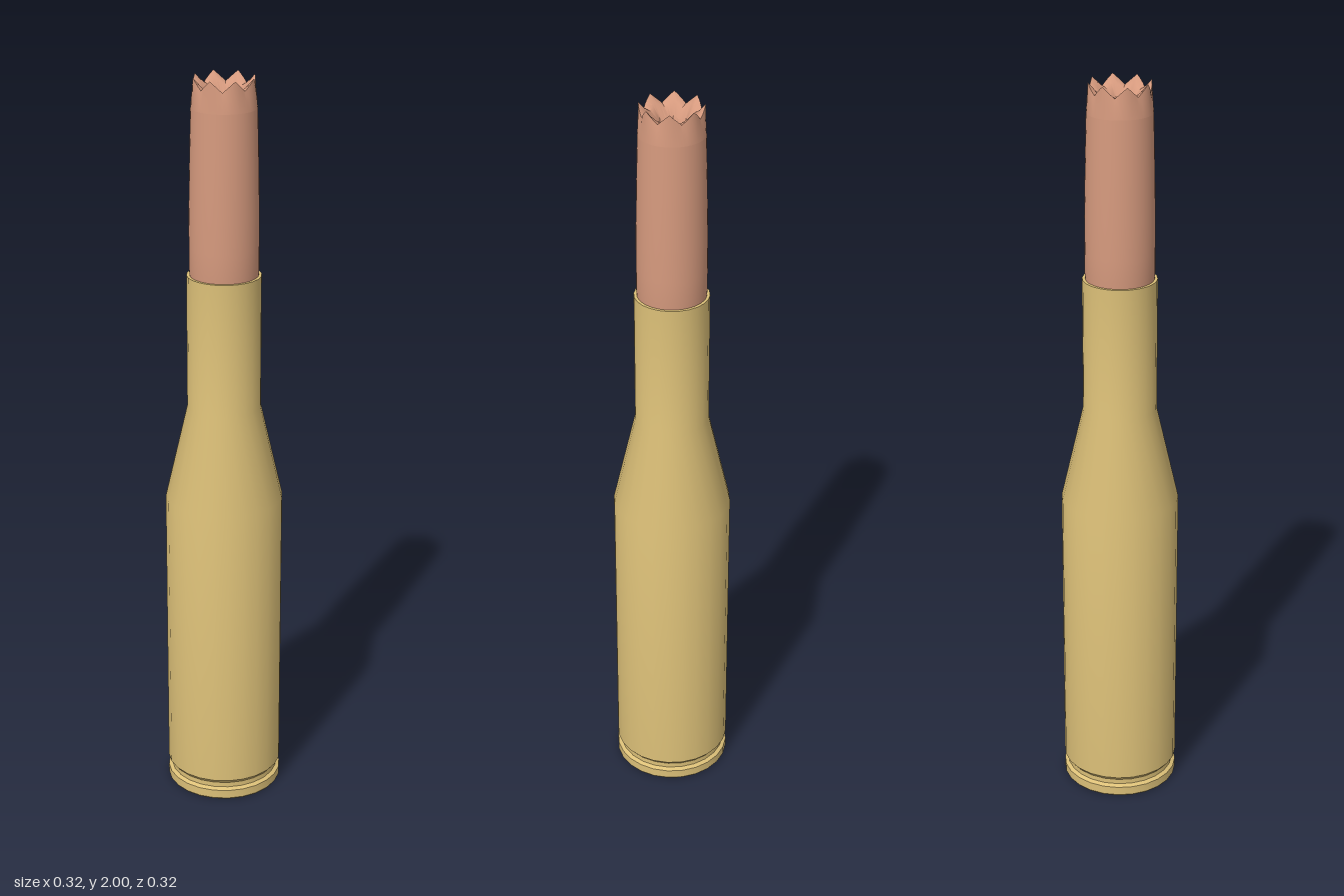
import * as THREE from 'three';
import { toCreasedNormals } from 'three/addons/utils/BufferGeometryUtils.js';

const brass = new THREE.MeshStandardMaterial({ color: 0xdcc078 });
brass.name = 'brass';
const copper = new THREE.MeshStandardMaterial({ color: 0xd69a7e });
copper.name = 'copper';

const SIDES = 24, PETALS = 8;

function lathe(name, profile, material, sides) {
  const points = profile.map(([r, y]) => new THREE.Vector2(r, y));
  const mesh = new THREE.Mesh(new THREE.LatheGeometry(points, sides), material);
  mesh.name = name;
  return mesh;
}

export function createModel() {
  const group = new THREE.Group();
  group.name = 'cartridge';

  // Bottlenecked case with rim, extractor groove, shoulder and open mouth
  const brassCase = lathe('case', [
    [0, 0], [0.155, 0], [0.158, 0.004], [0.158, 0.028], [0.148, 0.034], [0.148, 0.048],
    [0.158, 0.06], [0.158, 0.865], [0.098, 1.125], [0.098, 1.485], [0.09, 1.485], [0.088, 1.42],
  ], brass, SIDES);
  brassCase.geometry = toCreasedNormals(brassCase.geometry, 0.55);
  group.add(brassCase);

  // Bullet jacket
  group.add(lathe('bulletJacket', [
    [0.084, 1.42], [0.091, 1.5], [0.091, 1.56], [0.091, 1.65], [0.088, 1.8], [0.085, 1.92],
  ], copper, 48));

  // Crown tip: rings of the lathe are cut into eight petals around a hollow
  // Each row: radius and height at a petal peak, radius and height at a valley
  const rows = [
    [0.085, 1.92, 0.085, 1.92],
    [0.083, 1.96, 0.082, 1.95],
    [0.082, 2.0, 0.077, 1.972],
    [0.066, 1.982, 0.058, 1.968],
    [0.046, 1.95, 0.036, 1.945],
    [0.036, 1.9, 0.03, 1.9],
    [0, 1.89, 0, 1.89],
  ];
  const tip = lathe('crownTip', rows.map(([r, y]) => [r, y]), copper, 48);
  const pos = tip.geometry.attributes.position;
  for (let i = 0; i < pos.count; i++) {
    const [r0, y0, r1, y1] = rows[i % rows.length];
    const a = Math.floor(i / rows.length) / 48 * Math.PI * 2;
    const t = Math.abs(((a * PETALS / Math.PI) % 2 + 2) % 2 - 1); // 1 at peaks, 0 in valleys
    const r = r1 + (r0 - r1) * t;
    pos.setXYZ(i, Math.sin(a) * r, y1 + (y0 - y1) * t, Math.cos(a) * r);
  }
  tip.geometry = toCreasedNormals(tip.geometry, 0.8);
  group.add(tip);

  return group;
}
